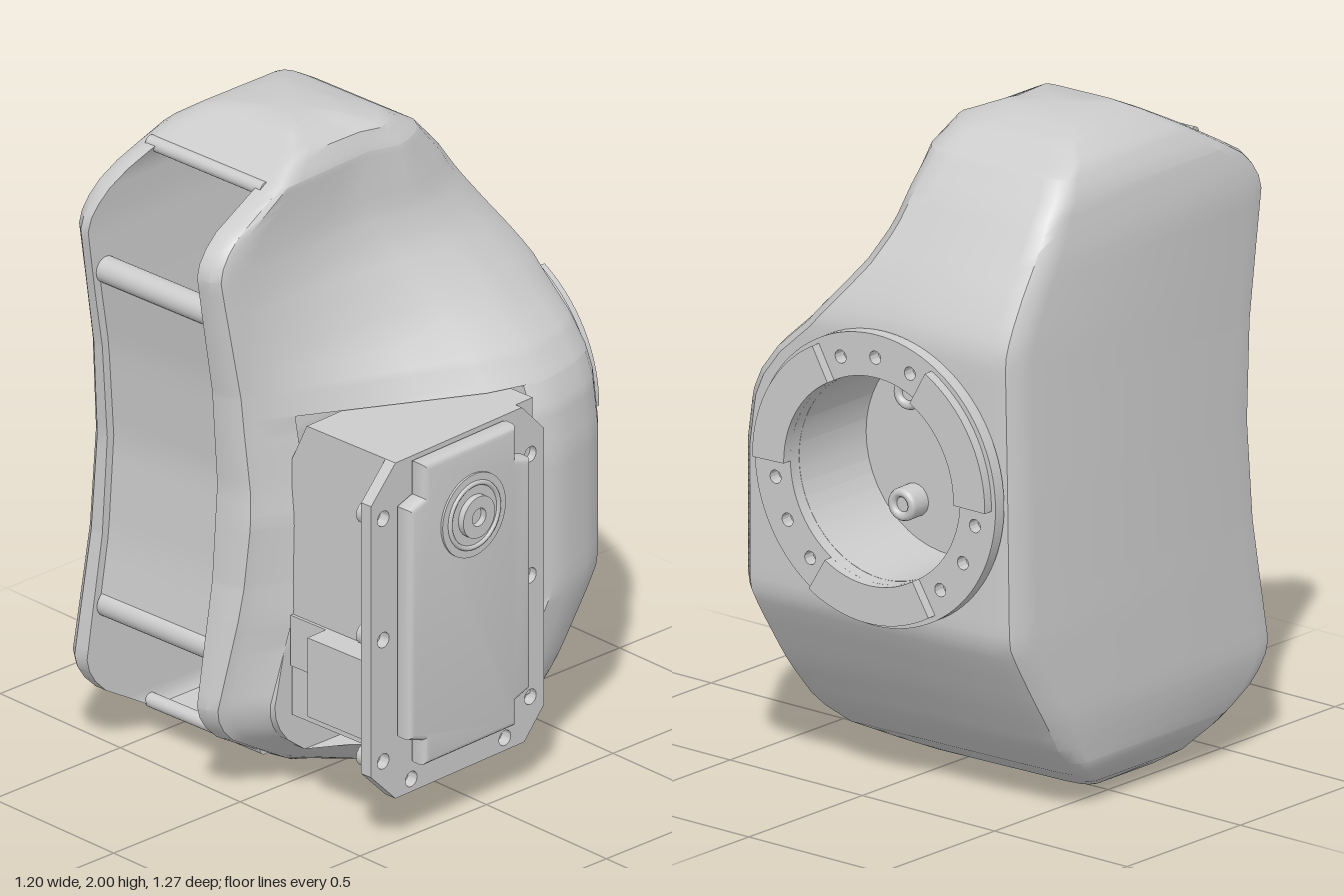
import * as THREE from 'three';
import { toCreasedNormals } from 'three/addons/utils/BufferGeometryUtils.js';
import { RoundedBoxGeometry } from 'three/addons/geometries/RoundedBoxGeometry.js';

const grey = new THREE.MeshStandardMaterial({ color: 0xcccccc, side: THREE.DoubleSide });
const TILT = 0.04; // the housing is skewed slightly in plan

function add(parent, name, geometry, x = 0, y = 0, z = 0) {
  const mesh = new THREE.Mesh(geometry, grey);
  mesh.name = name;
  mesh.position.set(x, y, z);
  parent.add(mesh);
  return mesh;
}

// piecewise-linear lookup through [y, value] pairs
function curve(pairs) {
  return y => {
    let i = 1;
    while (i < pairs.length - 1 && y > pairs[i][0]) i++;
    const [a, u] = pairs[i - 1], [b, v] = pairs[i];
    return u + (v - u) * Math.min(1, Math.max(0, (y - a) / (b - a)));
  };
}

// extrude a [z, y] outline along x from x0 to x1
function extrudeX(points, x0, x1, bevel = 0, holes = []) {
  const shape = new THREE.Shape(points.map(([z, y]) => new THREE.Vector2(-z, y)));
  for (const [z, y, r] of holes) shape.holes.push(new THREE.Path().absarc(-z, y, r, 0, Math.PI * 2, true));
  const g = new THREE.ExtrudeGeometry(shape, {
    depth: x1 - x0 - 2 * bevel, bevelEnabled: bevel > 0, bevelSize: bevel, bevelThickness: bevel,
    bevelOffset: -bevel, bevelSegments: 3, curveSegments: 12,
  });
  return toCreasedNormals(g.rotateY(Math.PI / 2).translate(x0 + bevel, 0, 0), 0.6);
}

const tubeX = (r, length, sides = 24) => new THREE.CylinderGeometry(r, r, length, sides).rotateZ(Math.PI / 2);

// housing outline as functions of height
const front = curve([[0, 0.2], [0.2, 0.54], [0.26, 0.6], [0.32, 0.615], [0.45, 0.595], [0.7, 0.555], [1, 0.535],
  [1.3, 0.555], [1.55, 0.595], [1.68, 0.615], [1.74, 0.6], [1.8, 0.54], [2, 0.2]]);
const back = curve([[0, 0], [0.03, -0.1], [0.1, -0.22], [0.2, -0.32], [0.35, -0.42], [0.5, -0.51], [0.57, -0.545],
  [1.43, -0.545], [1.5, -0.52], [1.6, -0.465], [1.7, -0.4], [1.8, -0.335], [1.9, -0.25], [1.97, -0.14], [2, -0.03]]);
const left = curve([[0, -0.4], [0.02, -0.48], [0.06, -0.54], [0.13, -0.585], [0.3, -0.6], [1, -0.59], [1.7, -0.575],
  [1.85, -0.56], [1.93, -0.52], [1.98, -0.45], [2, -0.38]]);
const cheek = curve([[0, -0.1], [0.05, -0.04], [0.2, 0], [0.6, 0.05], [0.9, 0.07], [1.2, 0.05], [1.6, 0.03],
  [1.9, 0.02], [1.96, -0.02], [2, -0.1]]);
const bulge = curve([[0, -0.1], [0.02, 0.1], [0.05, 0.25], [0.1, 0.37], [0.15, 0.42], [0.3, 0.455], [0.6, 0.47],
  [1, 0.47], [1.15, 0.45], [1.22, 0.42], [1.3, 0.36], [1.4, 0.25], [1.5, 0.165], [1.6, 0.095], [1.7, 0.055],
  [1.9, 0.03], [1.96, 0], [2, -0.1]]);

const HOLE = 0.31, SLOT = [0.1, 1.9], POCKET = [0.15, 1.22];

// one horizontal slice: back-left, front with slot, motor pocket, bulge, rear port
function slice(y) {
  const f = front(y), b = back(y), l = left(y), c = cheek(y), r = Math.max(bulge(y), c);
  const s = Math.min(1, (f - b) / 1.1);
  const slot = y > SLOT[0] && y < SLOT[1], pocket = y > POCKET[0] && y < POCKET[1];
  const h = Math.sqrt(Math.max(0, HOLE ** 2 - (y - 1) ** 2));
  const cx = Math.min(-0.12, r - 0.12), floor = h > 0 ? -0.25 : b;
  const nl = Math.max(-0.5, l + 0.08), nr = Math.min(-0.06, c - 0.06), nz = slot ? -0.1 : f;
  const zc = f - 0.06 * s, zr = b + 0.28 * s, zm = b + 0.44 * s;
  const wall = t => [c + (r - 0.05 * s - c) * t, zc + (zm - zc) * t];
  const p0 = wall(0.17);
  const side = pocket
    ? [p0, [0.1, p0[1]], [0.1, -0.22], [r - 0.02, -0.22]]
    : [p0, wall(0.45), wall(0.72), wall(1)];
  return [
    [cx - h, b], [l + 0.08, b], [l + 0.03, b + 0.015 * s], [l + 0.008, b + 0.05 * s], [l, b + 0.1 * s],
    [l, f - 0.1 * s], [l + 0.015, f - 0.03 * s], [l + 0.05, f],
    [nl, f], [nl, nz], [nr, nz], [nr, f],
    [c - 0.04, f], [c - 0.01, f - 0.02 * s], [c, zc],
    ...side,
    [r, zr], [r - 0.008, b + 0.2 * s], [r - 0.03, b + 0.11 * s], [r - 0.06, b + 0.04 * s], [r - 0.1, b],
    [cx + h, b], [cx + h, floor], [cx - h, floor],
  ].map(([x, z]) => [x, y, z - TILT * (x + 0.1)]);
}

function housingGeometry() {
  const ys = [];
  for (let i = 0; i <= 50; i++) ys.push(i / 25);
  for (const e of [0.01, 0.02, 0.03, 0.06]) ys.push(e, 2 - e);
  for (const e of [...SLOT, ...POCKET, 1 - HOLE, 1 + HOLE]) ys.push(e - 1e-4, e + 1e-4);
  for (let i = 1; i < 24; i++) ys.push(1 - HOLE * Math.cos(i * Math.PI / 24));
  ys.sort((a, b) => a - b);
  const rows = ys.map(slice), n = rows[0].length, position = rows.flat(2), index = [];
  for (let i = 0; i < rows.length - 1; i++) for (let j = 0; j < n; j++) {
    const a = i * n + j, b = i * n + (j + 1) % n;
    index.push(a, b, b + n, a, b + n, a + n);
  }
  // closing caps
  const bottom = rows.length * n, top = bottom + 1, last = (rows.length - 1) * n;
  position.push(-0.22, 0, 0.1, -0.22, 2, 0.09);
  for (let j = 0; j < n; j++) {
    const k = (j + 1) % n;
    index.push(bottom, k, j, top, last + j, last + k);
  }
  const g = new THREE.BufferGeometry();
  g.setAttribute('position', new THREE.Float32BufferAttribute(position, 3));
  g.setIndex(index);
  return toCreasedNormals(g, 0.6);
}

// flat ring sector with optional screw holes
function sector(r0, r1, a0, a1, depth, holes = []) {
  const shape = new THREE.Shape();
  shape.absarc(0, 0, r1, a0, a1, false);
  if (a1 - a0 > 6.2) shape.holes.push(new THREE.Path().absarc(0, 0, r0, 0, Math.PI * 2, true));
  else shape.absarc(0, 0, r0, a1, a0, true);
  for (const a of holes)
    shape.holes.push(new THREE.Path().absarc(0.37 * Math.cos(a), 0.37 * Math.sin(a), 0.02, 0, Math.PI * 2, true));
  return toCreasedNormals(new THREE.ExtrudeGeometry(shape, { depth, bevelEnabled: false, curveSegments: 48 }), 0.6);
}

function mountRing() {
  const ring = new THREE.Group();
  ring.name = 'mountRing';
  ring.position.set(-0.12, 1, -0.545);
  ring.rotation.y = Math.PI + TILT;
  const rad = Math.PI / 180, holes = [];
  for (const c of [90, 210, 330]) for (const d of [-20, 0, 20]) holes.push((c + d) * rad);
  add(ring, 'ringBase', sector(0.31, 0.44, 0, Math.PI * 2, 0.04, holes));
  for (const c of [30, 150, 270])
    add(ring, 'ringLug', sector(0.31, 0.425, (c - 31) * rad, (c + 31) * rad, 0.032), 0, 0, 0.039);
  // screw bosses on the port floor
  for (const [x, y] of [[-0.12, -0.17], [0.14, -0.17], [-0.1, 0.17]]) {
    add(ring, 'screwBoss', new THREE.CylinderGeometry(0.05, 0.05, 0.06, 20).rotateX(Math.PI / 2), x, y, -0.27);
    add(ring, 'screwRim', new THREE.TorusGeometry(0.036, 0.014, 8, 20), x, y, -0.24);
  }
  return ring;
}

function motorUnit() {
  const motor = new THREE.Group();
  motor.name = 'motor';
  motor.rotation.y = TILT;
  // case with a chamfered upper inner edge
  const outline = [[0.09, 0.28], [0.48, 0.28], [0.48, 1.215], [0.15, 1.215], [0.09, 1.09]];
  const shape = new THREE.Shape(outline.map(p => new THREE.Vector2(...p)));
  add(motor, 'motorCase', new THREE.ExtrudeGeometry(shape, { depth: 0.59, bevelEnabled: false }), 0, 0, -0.19);
  // screw flange
  const screws = [];
  for (const y of [1.055, 0.67, 0.285]) screws.push([0.45, y, 0.024], [-0.155, y, 0.024]);
  screws.push([0.335, 0.19, 0.024], [-0.05, 0.19, 0.024]);
  add(motor, 'motorFlange', extrudeX([[0.4, 0.15], [-0.13, 0.15], [-0.21, 0.24], [-0.21, 1.12], [-0.12, 1.215],
    [0.4, 1.215], [0.5, 1.11], [0.5, 0.25]], 0.465, 0.505, 0, screws));
  for (const [z, y] of screws) add(motor, 'screwSleeve', tubeX(0.035, 0.04, 16), 0.45, y, z);
  // raised cover with notched corners
  add(motor, 'motorCover', extrudeX([[0.34, 0.25], [-0.04, 0.25], [-0.04, 0.33], [-0.1, 0.35], [-0.1, 1.08],
    [-0.04, 1.1], [-0.04, 1.205], [0.34, 1.205], [0.34, 1.1], [0.4, 1.08], [0.4, 0.35], [0.34, 0.33]], 0.5, 0.565, 0.02));
  // output hub
  const hubY = 0.985, hubZ = 0.145;
  add(motor, 'hubPlate', tubeX(0.13, 0.01, 40), 0.567, hubY, hubZ);
  add(motor, 'hubGroove', new THREE.TorusGeometry(0.1, 0.008, 8, 40).rotateY(Math.PI / 2), 0.571, hubY, hubZ);
  add(motor, 'hub', extrudeX(Array.from({ length: 32 }, (_, i) =>
    [0.065 * Math.cos(i * Math.PI / 16), 0.065 * Math.sin(i * Math.PI / 16)]), 0.57, 0.592, 0, [[0, 0, 0.028]]), 0, hubY, hubZ);
  // cable socket and bottom skirt
  add(motor, 'cableSocket', new THREE.BoxGeometry(0.23, 0.25, 0.12), 0.35, 0.475, 0.425);
  add(motor, 'socketStep', new THREE.BoxGeometry(0.37, 0.16, 0.02), 0.28, 0.52, 0.4);
  add(motor, 'caseSkirt', new THREE.BoxGeometry(0.3, 0.06, 0.46), 0.31, 0.26, 0.08);
  return motor;
}

export function createModel() {
  const model = new THREE.Group();
  add(model, 'housing', housingGeometry());

  // concave front panel between the two strap slots
  const face = [], rear = [];
  for (let i = 0; i <= 16; i++) {
    const y = 0.49 + i * 1.02 / 16;
    face.push([front(y) - 0.02, y]);
    rear.unshift([front(y) - 0.075, y]);
  }
  const strap = new THREE.Group();
  strap.name = 'frontPanel';
  strap.rotation.y = TILT;
  strap.position.z = -0.01;
  add(strap, 'panel', extrudeX([...face, ...rear], -0.525, -0.05));
  for (const y of [0.48, 1.54]) add(strap, 'strapBar', tubeX(0.04, 0.47), -0.285, y, front(y) - 0.045);
  for (const y of [0.115, 1.885]) add(strap, 'slotLip', tubeX(0.022, 0.46), -0.285, y, front(y) - 0.025);
  add(strap, 'latch', new RoundedBoxGeometry(0.1, 0.24, 0.11, 3, 0.035), -0.12, 0.38, 0.35);
  model.add(strap);

  model.add(mountRing(), motorUnit());
  return model;
}
